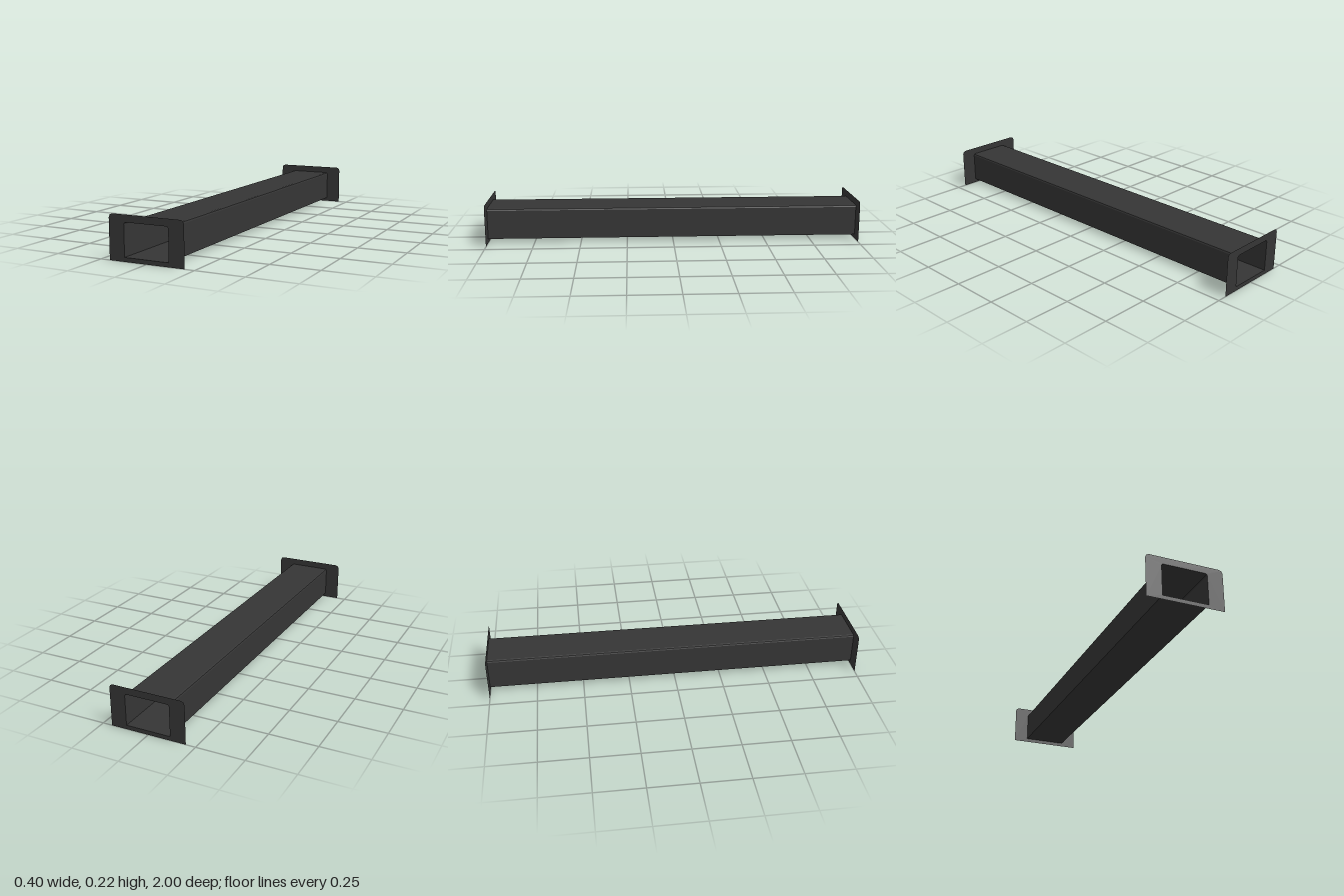
import * as THREE from 'three';

// Counter-clockwise outline with square bottom corners and rounded top corners
function outline(halfWidth, bottom, top, radius, segments = 2) {
  const points = [new THREE.Vector2(-halfWidth, bottom), new THREE.Vector2(halfWidth, bottom)];
  for (const side of [1, -1]) {
    for (let i = 0; i <= segments; i++) {
      const a = (side > 0 ? 0 : Math.PI / 2) + (i / segments) * Math.PI / 2;
      points.push(new THREE.Vector2(
        side * (halfWidth - radius) + radius * Math.cos(a),
        top - radius + radius * Math.sin(a)));
    }
  }
  return points;
}

// Open-ended wall swept along z, with separate flat faces
function sweptWall(points, halfLength) {
  const positions = [];
  points.forEach((p, i) => {
    const q = points[(i + 1) % points.length];
    const a = [p.x, p.y, halfLength], b = [p.x, p.y, -halfLength];
    const c = [q.x, q.y, -halfLength], d = [q.x, q.y, halfLength];
    positions.push(...a, ...b, ...c, ...a, ...c, ...d);
  });
  const geometry = new THREE.BufferGeometry();
  geometry.setAttribute('position', new THREE.Float32BufferAttribute(positions, 3));
  geometry.computeVertexNormals();
  return geometry;
}

export function createModel() {
  const model = new THREE.Group();
  model.name = 'flangedDuct';
  const darkGrey = new THREE.MeshStandardMaterial({ color: 0x353535, side: THREE.DoubleSide });
  darkGrey.name = 'darkGrey';

  const bore = outline(0.118, 0.021, 0.186, 0.01);

  // Long hollow duct
  const duct = new THREE.Mesh(sweptWall(bore, 1), darkGrey);
  duct.name = 'duct';
  model.add(duct);

  // Paper-thin flange around each open end
  const plate = new THREE.Shape(outline(0.2, 0, 0.222, 0.019));
  plate.holes.push(new THREE.Path(bore));
  const plateGeometry = new THREE.ShapeGeometry(plate);
  for (const end of [1, -1]) {
    const flange = new THREE.Mesh(plateGeometry, darkGrey);
    flange.name = end > 0 ? 'frontFlange' : 'backFlange';
    flange.position.z = end;
    if (end < 0) flange.rotation.y = Math.PI;
    model.add(flange);
  }

  return model;
}
